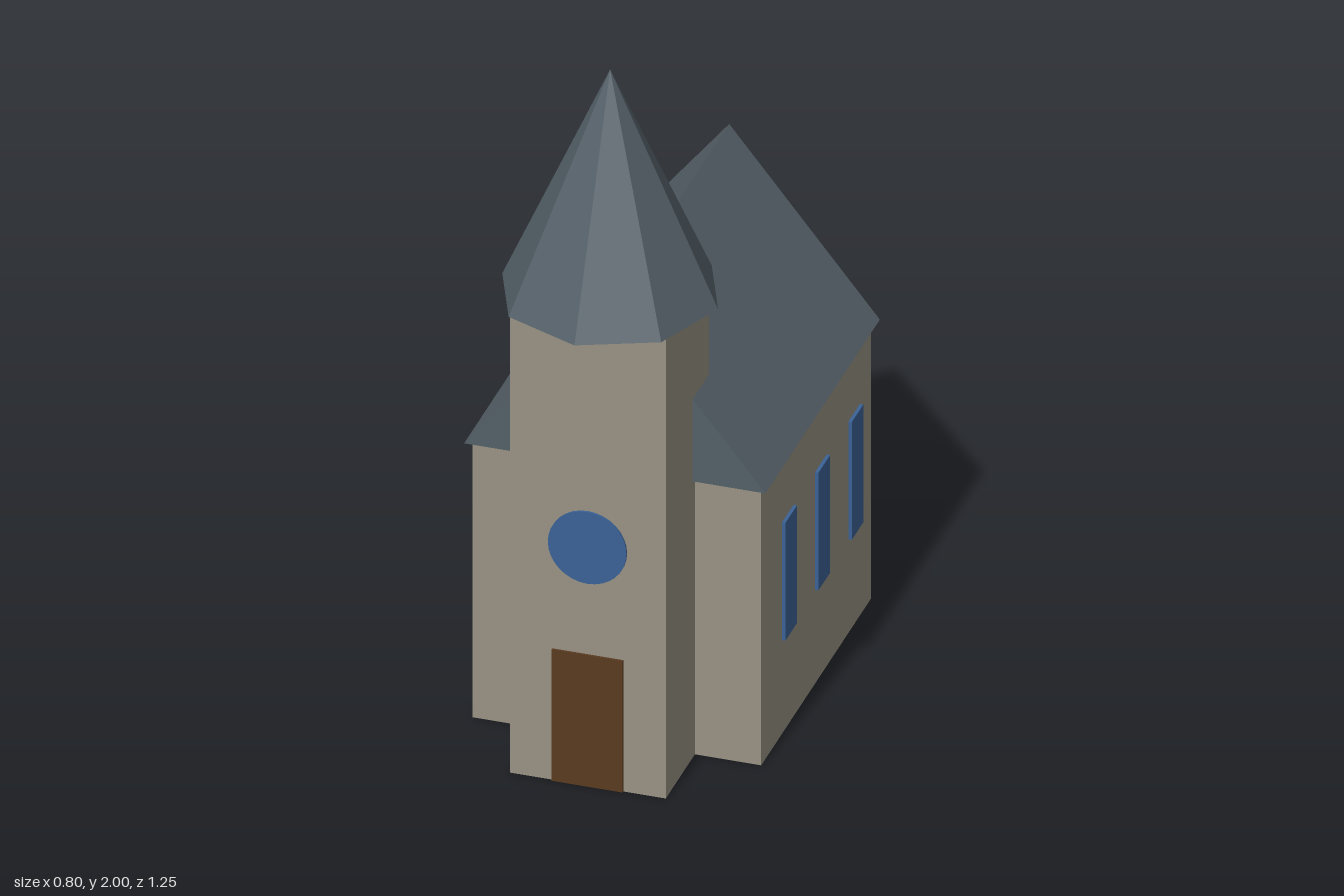
import * as THREE from 'three';

const material = (name, color) => {
  const m = new THREE.MeshStandardMaterial({ color });
  m.name = name;
  return m;
};

export function createModel() {
  const stone = material('stone', 0x989283);
  const slate = material('slate', 0x546068);
  const glass = material('blue glass', 0x3b6296);
  const wood = material('brown wood', 0x5a3a20);
  slate.flatShading = true;

  const model = new THREE.Group();
  model.name = 'church';

  const add = (name, geometry, mat, x = 0, y = 0, z = 0) => {
    const mesh = new THREE.Mesh(geometry, mat);
    mesh.name = name;
    mesh.position.set(x, y, z);
    model.add(mesh);
    return mesh;
  };
  const box = (name, mat, w, h, d, x, y, z) =>
    add(name, new THREE.BoxGeometry(w, h, d), mat, x, y + h / 2, z);

  // Main hall and its gabled roof
  box('hall', stone, 0.77, 0.81, 0.885, 0, 0, -0.162);
  const gable = new THREE.Shape();
  gable.moveTo(-0.402, 0);
  gable.lineTo(0.402, 0);
  gable.lineTo(0, 0.5);
  gable.closePath();
  const roof = new THREE.ExtrudeGeometry(gable, { depth: 0.922, bevelEnabled: false });
  add('hallRoof', roof, slate, 0, 0.81, -0.624);

  // Tower with an eight-sided spire, one corner facing forward
  box('tower', stone, 0.416, 1.35, 0.35, 0, 0, 0.34);
  add('spire', new THREE.ConeGeometry(0.288, 0.65, 8), slate, 0, 1.675, 0.335);

  // Door and round window on the tower front
  box('door', wood, 0.19, 0.385, 0.009, 0, 0, 0.5165);
  const round = new THREE.CylinderGeometry(0.105, 0.105, 0.009, 32);
  round.rotateX(Math.PI / 2);
  add('roundWindow', round, glass, 0, 0.7, 0.5165);

  // Three tall windows on each side
  for (const side of [-1, 1]) {
    for (const z of [0.067, -0.2, -0.468]) {
      box(side > 0 ? 'leftWindow' : 'rightWindow', glass, 0.0095, 0.345, 0.094, side * 0.3895, 0.275, z);
    }
  }

  return model;
}
